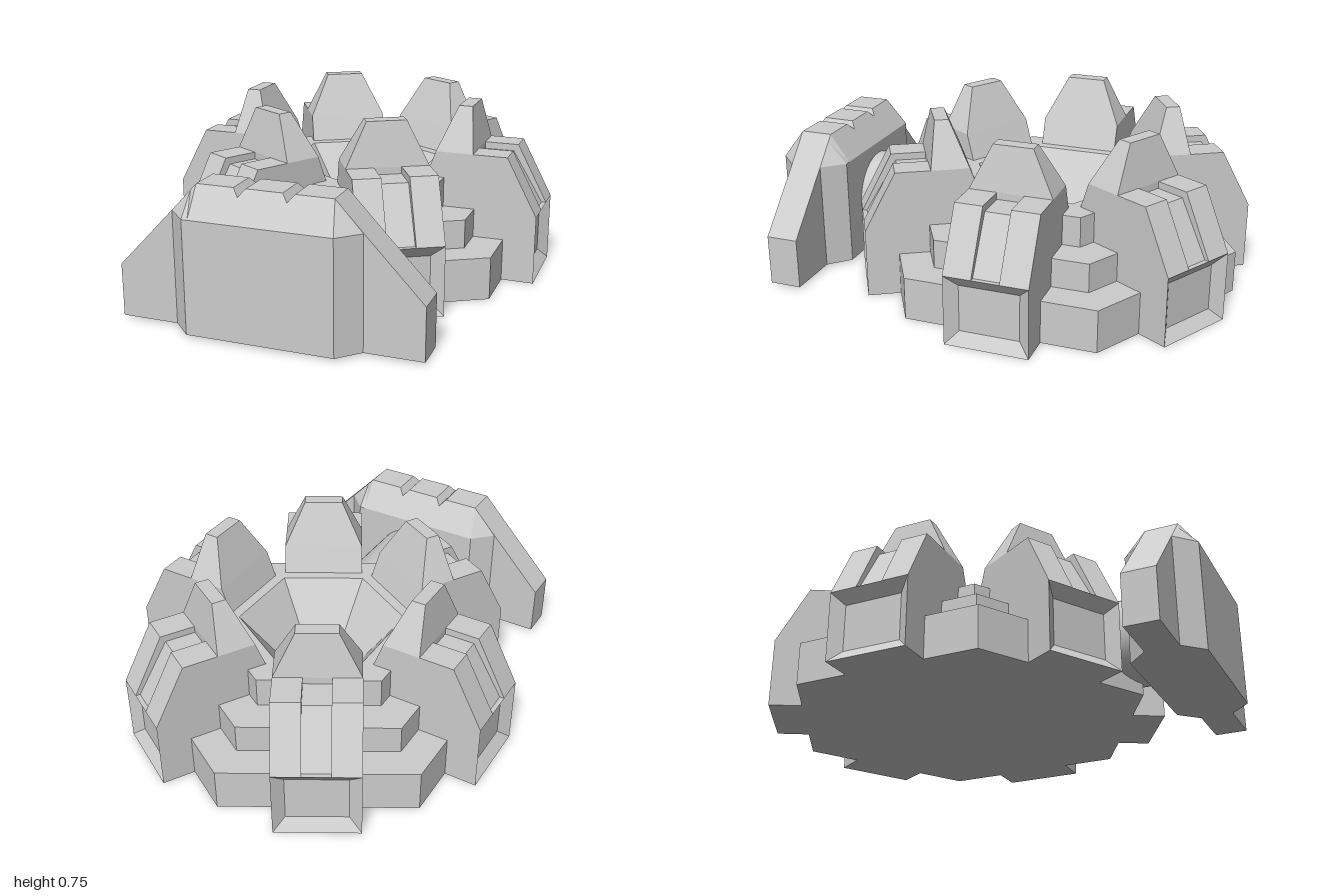
import * as THREE from 'three';

const flat = new THREE.MeshStandardMaterial({ color: 0xcccccc, flatShading: true });
const smooth = new THREE.MeshStandardMaterial({ color: 0xcccccc });
const CZ = -0.18; // centre of the hexagonal platform

function add(parent, name, geometry, material = flat) {
  const mesh = new THREE.Mesh(geometry, material);
  mesh.name = name;
  parent.add(mesh);
  return mesh;
}

function faceted(geometry) {
  const g = geometry.index ? geometry.toNonIndexed() : geometry;
  g.computeVertexNormals();
  return g;
}

// Skin over cross-sections; each ring runs counter-clockwise seen from the end.
function loft(rings) {
  const pos = [];
  const tri = (...pts) => pts.forEach(p => pos.push(...p));
  const n = rings[0].length;
  for (let k = 0; k < rings.length - 1; k++) {
    const a = rings[k], b = rings[k + 1];
    for (let i = 0; i < n; i++) {
      const j = (i + 1) % n;
      tri(a[i], a[j], b[j]);
      tri(a[i], b[j], b[i]);
    }
  }
  const first = rings[0], last = rings[rings.length - 1];
  for (let i = 1; i < n - 1; i++) {
    tri(first[0], first[i + 1], first[i]);
    tri(last[0], last[i], last[i + 1]);
  }
  const g = new THREE.BufferGeometry();
  g.setAttribute('position', new THREE.Float32BufferAttribute(pos, 3));
  return faceted(g);
}

// Side profile in (x, y), extruded between z0 and z1
function slab(profile, z0, z1) {
  const shape = new THREE.Shape(profile.map(p => new THREE.Vector2(...p)));
  const g = new THREE.ExtrudeGeometry(shape, { depth: z1 - z0, bevelEnabled: false });
  return faceted(g.translate(0, 0, z0));
}

// One buttress pointing along +x
function makePylon() {
  const pylon = new THREE.Group();
  pylon.name = 'pylon';
  const W = 0.177, M = 0.058;

  // lower block with a recessed outer panel
  const rect = (x, w, y0, y1) => [[x, y0, w], [x, y0, -w], [x, y1, -w], [x, y1, w]];
  add(pylon, 'pylonFoot', loft([
    rect(0.35, W, 0, 0.3), rect(0.85, W, 0, 0.3), rect(0.81, W - 0.05, 0.05, 0.25),
  ]));

  // sloping ribs with a sunken middle strip
  const rib = [[0.35, 0.3], [0.85, 0.3], [0.715, 0.555], [0.4, 0.555], [0.35, 0.42]];
  const strip = [[0.35, 0.3], [0.83, 0.3], [0.695, 0.525], [0.565, 0.525],
    [0.565, 0.555], [0.4, 0.555], [0.35, 0.42]];
  add(pylon, 'pylonRib', slab(rib, -W, -M));
  add(pylon, 'pylonRib', slab(rib, M, W));
  add(pylon, 'pylonStrip', slab(strip, -M, M));

  // tapered peak
  const level = (y, x0, x1, w) => [[x0, y, w], [x1, y, w], [x1, y, -w], [x0, y, -w]];
  add(pylon, 'pylonPeak', loft([level(0.555, 0.4, 0.565, W), level(0.745, 0.475, 0.535, 0.085)]));
  return pylon;
}

// Gatehouse: cross-sections along x as [x, half depth, top height]
function makeGate() {
  const half = [[0.63, 0.07, 0.23], [0.39, 0.07, 0.482], [0.305, 0.155, 0.573], [0.28, 0.155, 0.6],
    [0.125, 0.155, 0.6], [0.1, 0.155, 0.57], [0.075, 0.155, 0.6]];
  const stations = [...half.map(([x, h, y]) => [-x, h, y]), ...half.slice().reverse()];
  return loft(stations.map(([x, h, top]) => {
    const shoulder = Math.min(0.48, top);
    const t = h > 0.1 && Math.abs(x) < 0.2 ? 0.07 + (0.6 - top) * 0.7 : 0.07;
    return [[x, 0.01, h], [x, 0.01, -h], [x, shoulder, -h],
      [x, top, -t], [x, top, t], [x, shoulder, h]];
  }));
}

export function createModel() {
  const model = new THREE.Group();
  model.name = 'hexagonalStation';

  // stepped hexagonal platform with a sunken bowl
  const steps = [[0, 0], [0.82, 0], [0.82, 0.185], [0.667, 0.185], [0.667, 0.31], [0.507, 0.31],
    [0.507, 0.44], [0.36, 0.44], [0.18, 0.22], [0, 0.22]].map(p => new THREE.Vector2(...p));
  add(model, 'platform', faceted(new THREE.LatheGeometry(steps, 6))).position.z = CZ;

  // six pylons around the platform
  for (let i = 0; i < 6; i++) {
    const pylon = makePylon();
    pylon.position.z = CZ;
    pylon.rotation.y = i * Math.PI / 3;
    model.add(pylon);
  }

  // round passage from the platform to the gatehouse
  const passage = new THREE.CylinderGeometry(0.19, 0.19, 0.52, 40).rotateX(Math.PI / 2);
  add(model, 'passage', passage, smooth).position.set(0, 0.24, 0.46);

  add(model, 'gatehouse', makeGate()).position.z = 0.845;
  return model;
}
